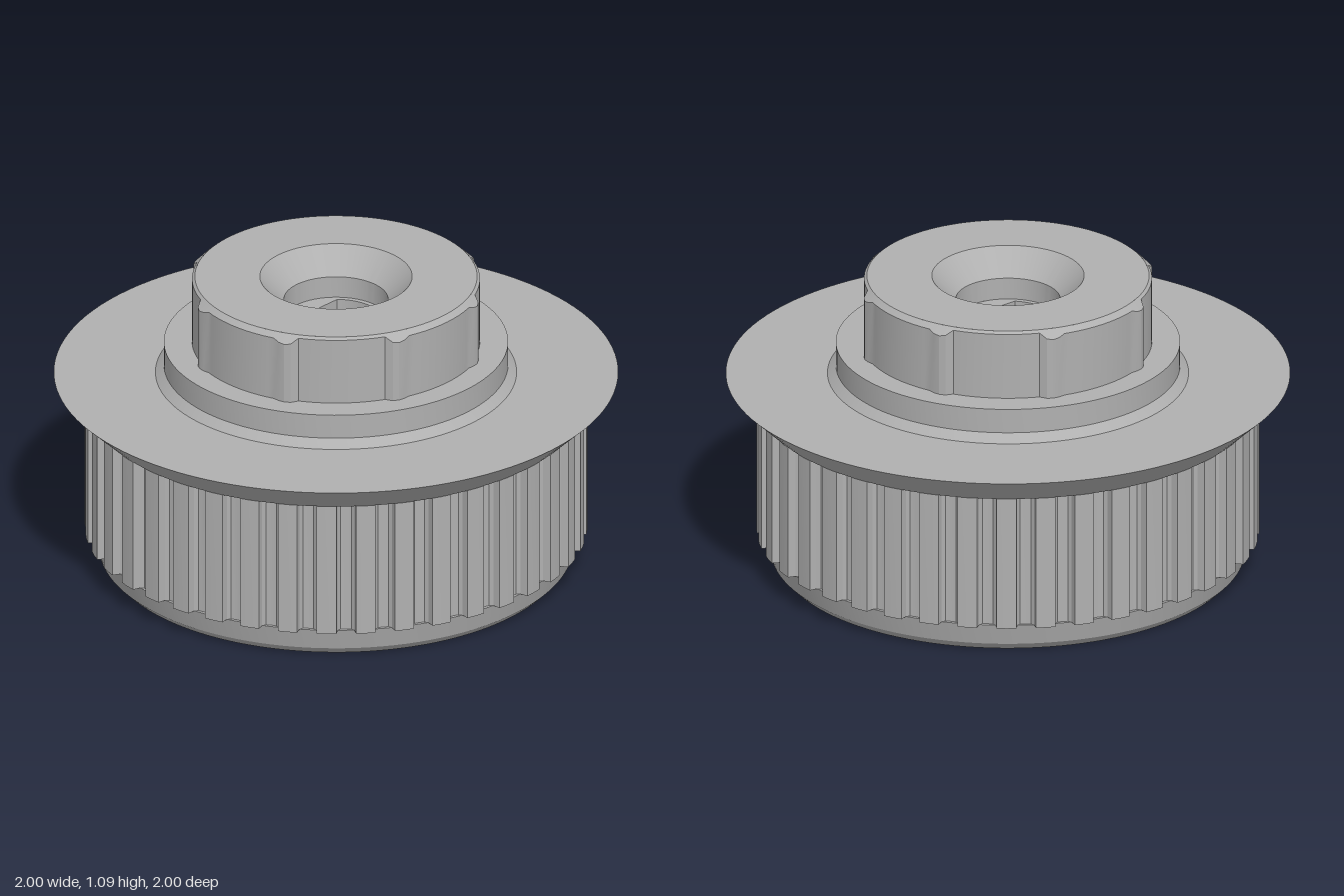
import * as THREE from 'three';
import { toCreasedNormals } from 'three/addons/utils/BufferGeometryUtils.js';

const DEG = Math.PI / 180;
const V = (x, y) => new THREE.Vector2(x, y);
const polar = (r, a) => V(r * Math.cos(a), r * Math.sin(a));
const circle = (r, n = 96) => Array.from({ length: n }, (_, i) => polar(r, (i / n) * 2 * Math.PI));

// Surface of revolution with sharp profile corners
function lathe(points) {
  const geo = new THREE.LatheGeometry(points.map(([r, y]) => V(r, y)), 120);
  return toCreasedNormals(geo, 0.25);
}

// Skin between closed rings of [x, y, z]; rings going up face outward, going down face inward
function loft(rings) {
  const n = rings[0].length;
  const index = [];
  for (let k = 0; k < rings.length - 1; k++) {
    for (let i = 0; i < n; i++) {
      const j = (i + 1) % n;
      const a = k * n + i, b = k * n + j, c = b + n, d = a + n;
      index.push(a, b, c, a, c, d);
    }
  }
  const geo = new THREE.BufferGeometry();
  geo.setAttribute('position', new THREE.Float32BufferAttribute(rings.flat(2), 3));
  geo.setIndex(index);
  return toCreasedNormals(geo, 0.35);
}
const ring = (pts, y) => pts.map((p) => [p.x, y, -p.y]);

// Flat horizontal plate with a hole, facing up or down
function plate(outer, hole, y, up) {
  const shape = new THREE.Shape(outer);
  shape.holes.push(new THREE.Path(hole));
  return new THREE.ShapeGeometry(shape).rotateX(up ? -Math.PI / 2 : Math.PI / 2).translate(0, y, 0);
}

// Round well of radius r joined by four diagonal slots of half width w and reach R
function crossOutline(r, w, R) {
  const pts = [];
  const half = Math.asin(w / r);
  for (let q = 0; q < 4; q++) {
    const mid = (45 + 90 * q) * DEG;
    const origin = V(0, 0);
    pts.push(V(R, -w).rotateAround(origin, mid), V(R, w).rotateAround(origin, mid));
    const start = mid + half, span = Math.PI / 2 - 2 * half;
    for (let i = 0; i <= 12; i++) pts.push(polar(r, start + (span * i) / 12));
  }
  return pts;
}

// Circle with two flats, for the shaft hole
function shaftOutline(r, flat) {
  const a = Math.asin(flat / r);
  const pts = [];
  for (const side of [0, Math.PI]) {
    for (let i = 0; i <= 16; i++) pts.push(polar(r, side - a + (2 * a * i) / 16));
  }
  return pts;
}

// Belt teeth: forty rounded grooves around the drum
function toothedRing() {
  const groove = [[-2.25, 0.89], [-2, 0.862], [-1.3, 0.85], [0, 0.848], [1.3, 0.85], [2, 0.862], [2.25, 0.89], [4.5, 0.891]];
  const pts = [];
  for (let k = 0; k < 40; k++) for (const [a, r] of groove) pts.push(polar(r, (k * 9 + a) * DEG));
  const shape = new THREE.Shape(pts);
  shape.holes.push(new THREE.Path(circle(0.8)));
  const geo = new THREE.ExtrudeGeometry(shape, { depth: 0.5, bevelEnabled: false });
  return toCreasedNormals(geo.rotateX(-Math.PI / 2).translate(0, 0.11, 0), 0.5);
}

// Hub wall with eight small ribs, cut by a conical chamfer
function ribbedHub() {
  const pts = [];
  for (let i = 0; i < 144; i++) {
    const a = i * 2.5;
    const offset = Math.abs((a % 45) - 22.5);
    const base = Math.round(a / 45) % 2 ? 0.51 : 0.52;
    const r = offset < 1 ? 0.533 : offset < 3 ? 0.529 : base;
    pts.push(polar(r, a * DEG));
  }
  const chamfer = pts.map((p) => [p.x, 1.09 - (p.length() - 0.5) * 0.9, -p.y]);
  return loft([ring(pts, 0.835), chamfer, ring(circle(0.5, 144), 1.09)]);
}

export function createModel() {
  const group = new THREE.Group();
  const grey = new THREE.MeshStandardMaterial({ color: 0xb0b0b0 });
  grey.name = 'plainGrey';
  const add = (name, geo) => {
    const mesh = new THREE.Mesh(geo, grey);
    mesh.name = name;
    group.add(mesh);
  };

  // Outer body
  add('lowerLip', lathe([[0.81, 0], [0.84, 0.03], [0.86, 0.11], [0.79, 0.11]]));
  add('toothedRing', toothedRing());
  add('flange', lathe([[0.79, 0.61], [0.89, 0.61], [1, 0.715], [0.64, 0.715]]));
  add('collar', lathe([[0.64, 0.715], [0.61, 0.745], [0.61, 0.835], [0.49, 0.835]]));
  add('ribbedHub', ribbedHub());

  // Hub top, countersink and counterbore
  add('hubTop', lathe([[0.5, 1.09], [0.27, 1.09], [0.185, 1.0], [0.185, 0.92]]));

  // Flatted shaft hole
  const shaft = shaftOutline(0.167, 0.11);
  add('shaftLedge', plate(circle(0.185), shaft, 0.92, true));
  add('shaftHole', loft([ring(shaft, 0.92), ring(shaft, 0.55)]));

  // Underside with cross-shaped recess
  const mouth = crossOutline(0.46, 0.19, 0.775);
  const recess = crossOutline(0.41, 0.14, 0.725);
  add('underside', plate(circle(0.81, 120), mouth, 0, false));
  add('crossRecess', loft([ring(recess, 0.55), ring(recess, 0.05), ring(mouth, 0)]));
  add('recessCeiling', plate(recess, shaft, 0.55, false));

  return group;
}
